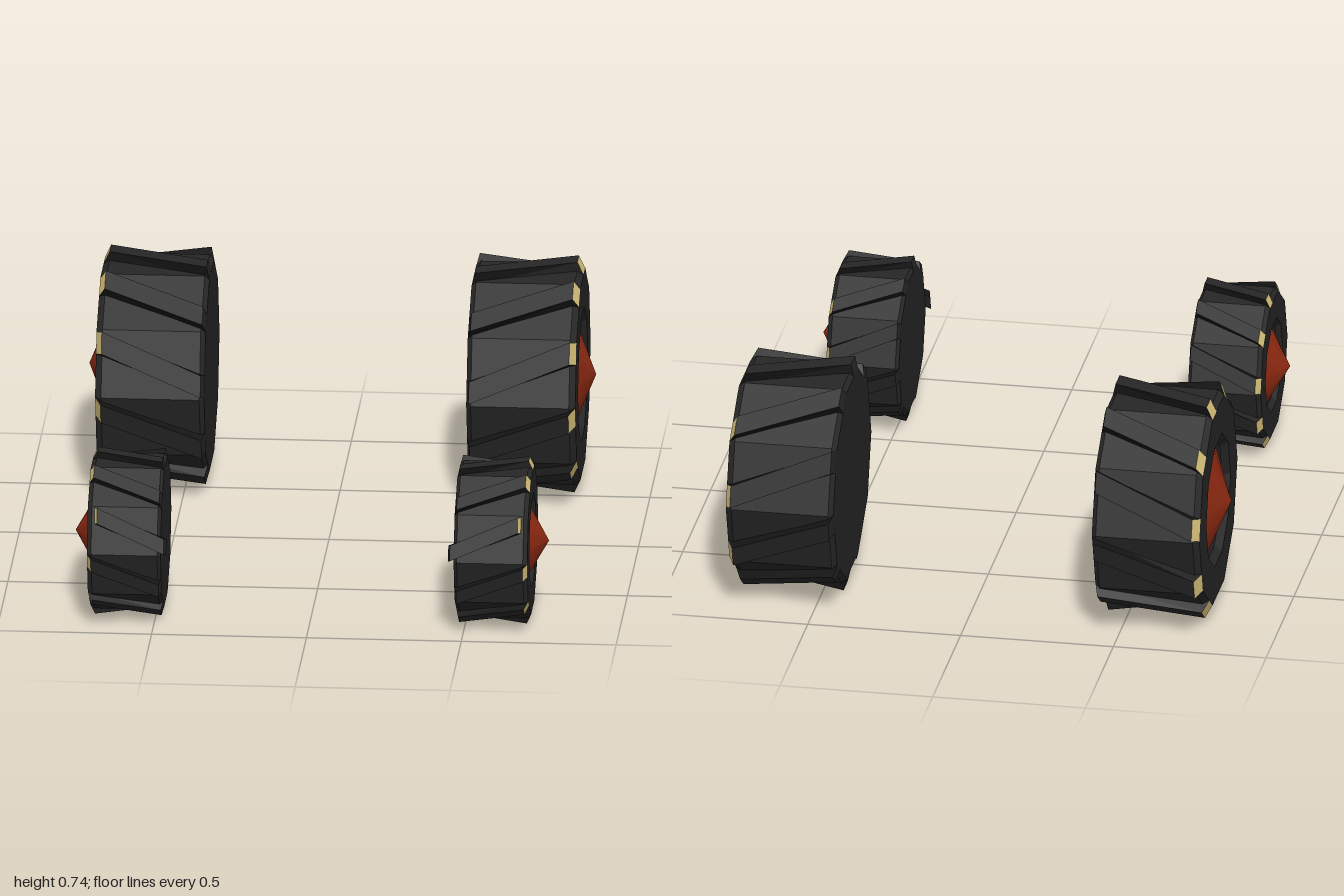
import * as THREE from 'three';

const mat = (name, color) => {
  const m = new THREE.MeshStandardMaterial({ color });
  m.name = name;
  return m;
};
const rubber = mat('dark rubber', 0x262626);
const black = mat('tread black', 0x131313);
const tan = mat('tan tread tip', 0xdcc57c);
const red = mat('rust red hub', 0x8f2a12);

const SIDES = 10;

// Flat-shades a geometry if asked, and mirrors it across x for the right side
function finish(geo, side, flat = true) {
  const g = geo.toNonIndexed();
  if (side < 0) {
    for (const name of ['position', 'normal']) {
      const a = g.attributes[name];
      for (let i = 0; i < a.count; i += 3) {
        const v = [0, 2, 1].map(j => new THREE.Vector3().fromBufferAttribute(a, i + j));
        v.forEach((p, j) => a.setXYZ(i + j, -p.x, p.y, p.z));
      }
    }
  }
  if (flat) g.computeVertexNormals();
  return g;
}

// One diagonal tread bar on the top facet: a sheared box with bevelled ends
function treadGeometry(half, s) {
  const top = 0.368 * s, bottom = 0.325 * s;
  const g = new THREE.BoxGeometry(2 * half, top - bottom, 0.072 * s);
  const p = g.attributes.position;
  for (let i = 0; i < p.count; i++) {
    const outer = Math.sign(p.getX(i));
    const upper = p.getY(i) > 0;
    p.setXYZ(i,
      outer * half - (upper ? (outer > 0 ? 0.02 : -0.01) * s : 0),
      upper ? top : bottom,
      p.getZ(i) - outer * 0.067 * s);
  }
  return g;
}

// s: size against the rear wheel, half: half width, stray: a tread that sits loose
function makeWheel(name, { s, half, hubTip, hubHeight, stray }, side) {
  const wheel = new THREE.Group();
  wheel.name = name;
  const add = (geo, material, part) => {
    const m = new THREE.Mesh(geo, material);
    m.name = part;
    wheel.add(m);
  };

  // Tyre: ten-sided, closed on the inside, dished on the outside
  const profile = [
    [0, -half], [0.342 * s, -half], [0.357 * s, -half + 0.015 * s],
    [0.357 * s, half - 0.02 * s], [0.342 * s, half], [0.218 * s, half],
    [0.2 * s, half - 0.025 * s], [0.18 * s, hubTip - hubHeight], [0, hubTip - hubHeight - 0.002],
  ].map(([r, y]) => new THREE.Vector2(r, y));
  add(finish(new THREE.LatheGeometry(profile, SIDES).rotateZ(-Math.PI / 2), side), rubber, 'tyre');

  // Hub: shallow pointed cap
  const hub = new THREE.ConeGeometry(0.18 * s, hubHeight, SIDES, 1, true);
  hub.translate(0, hubTip - hubHeight / 2, 0).rotateZ(-Math.PI / 2);
  add(finish(hub, side, false), red, 'hub');

  // Treads, one per facet, with coloured outer tips
  for (let k = 0; k < SIDES; k++) {
    const bar = treadGeometry(half, s);
    if (k === stray) bar.translate(-0.018, 0, 0);
    bar.rotateX((k * 2 * Math.PI) / SIDES);
    add(finish(bar, side), [tan, rubber, rubber, rubber, black, black], 'tread');
  }
  return wheel;
}

export function createModel() {
  const model = new THREE.Group();
  model.name = 'wheelSet';
  const rear = { s: 1, half: 0.176, hubTip: 0.219, hubHeight: 0.073, stray: -1 };
  const front = { s: 0.705, half: 0.119, hubTip: 0.172, hubHeight: 0.073, stray: 2 };

  for (const [label, side] of [['Left', 1], ['Right', -1]]) {
    const back = makeWheel('rearWheel' + label, rear, side);
    back.position.set(side * 0.599, 0.377, -0.621);
    const fore = makeWheel('frontWheel' + label, front, side);
    fore.position.set(side * 0.592, 0.263, 0.731);
    model.add(back, fore);
  }
  return model;
}
